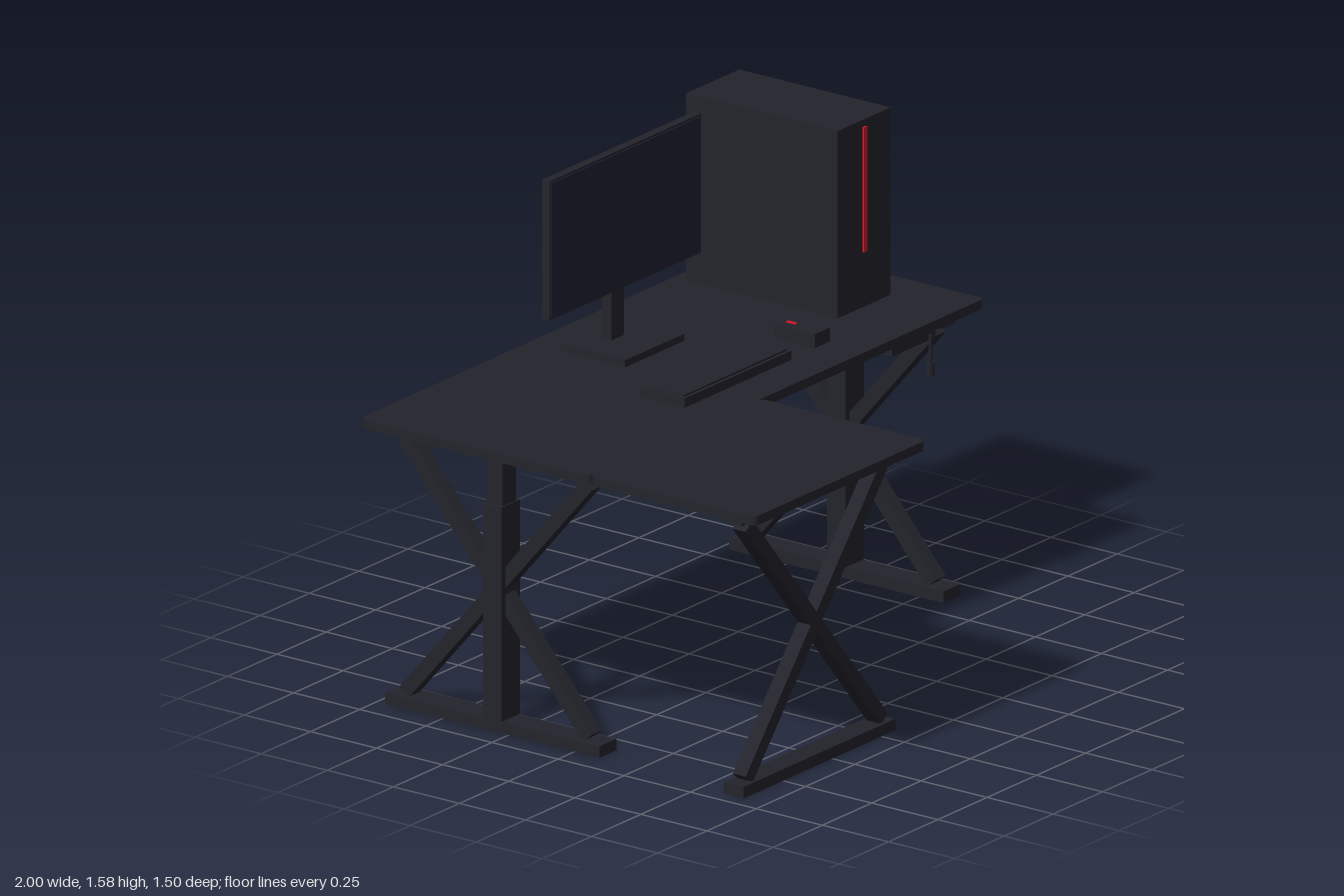
import * as THREE from 'three';

const mat = (name, color) => Object.assign(new THREE.MeshStandardMaterial({ color }), { name });

export function createModel() {
  const dark = mat('charcoal', 0x23232c);
  const glass = mat('blue black glass', 0x212136);
  const red = mat('red accent', 0xd31a2b);
  const root = new THREE.Group();
  root.name = 'cornerDesk';

  const add = (parent, name, geometry, material) => {
    const mesh = new THREE.Mesh(geometry, material);
    mesh.name = name;
    parent.add(mesh);
    return mesh;
  };
  const group = (name) => {
    const g = new THREE.Group();
    g.name = name;
    root.add(g);
    return g;
  };
  // Box given by its limits on each axis
  const box = (parent, name, [x0, x1], [y0, y1], [z0, z1], material = dark) => {
    const mesh = add(parent, name, new THREE.BoxGeometry(x1 - x0, y1 - y0, z1 - z0), material);
    mesh.position.set((x0 + x1) / 2, (y0 + y1) / 2, (z0 + z1) / 2);
    return mesh;
  };
  // Square bar running from point a to point b
  const bar = (parent, name, a, b, width, depth) => {
    const from = new THREE.Vector3(...a), to = new THREE.Vector3(...b);
    const mesh = add(parent, name, new THREE.BoxGeometry(width, from.distanceTo(to), depth), dark);
    mesh.position.copy(from).add(to).multiplyScalar(0.5);
    mesh.quaternion.setFromUnitVectors(new THREE.Vector3(0, 1, 0), to.sub(from).normalize());
    return mesh;
  };

  // Table tops: two slabs with rounded corners
  const slab = (name, x0, x1, z0, z1, r = 0.022) => {
    const s = new THREE.Shape();
    s.absarc(x1 - r, -z0 - r, r, 0, Math.PI / 2);
    s.absarc(x0 + r, -z0 - r, r, Math.PI / 2, Math.PI);
    s.absarc(x0 + r, -z1 + r, r, Math.PI, Math.PI * 1.5);
    s.absarc(x1 - r, -z1 + r, r, Math.PI * 1.5, Math.PI * 2);
    const g = new THREE.ExtrudeGeometry(s, { depth: 0.03, bevelEnabled: false, curveSegments: 6 });
    g.rotateX(-Math.PI / 2).translate(0, 0.907, 0);
    add(root, name, g, dark);
  };
  slab('mainTableTop', -1, 1, -0.75, 0.12);
  slab('sideTableTop', -1, -0.13, 0.12, 0.745);

  // Two telescopic legs with crossed braces
  for (const side of [-1, 1]) {
    const leg = group(side < 0 ? 'rightLeg' : 'leftLeg');
    const x = 0.872 * side;
    const span = (w) => [x - w / 2, x + w / 2];
    box(leg, 'foot', span(0.086), [0, 0.037], [-0.717, 0.094]);
    box(leg, 'lowerColumn', span(0.094), [0.037, 0.727], [-0.345, -0.275]);
    box(leg, 'upperColumn', span(0.07), [0.727, 0.877], [-0.34, -0.28]);
    box(leg, 'topBeam', span(0.07), [0.875, 0.907], [-0.697, 0.077]);
    bar(leg, 'brace', [x, 0.045, 0.034], [x, 0.86, -0.66], 0.05, 0.045);
    bar(leg, 'brace', [x, 0.045, -0.66], [x, 0.86, 0.034], 0.05, 0.045);
  }

  // Crossed frame under the side top
  const frame = group('sideFrame');
  box(frame, 'footRail', [-0.95, -0.18], [0, 0.037], [0.588, 0.664]);
  box(frame, 'topRail', [-0.95, -0.18], [0.873, 0.907], [0.598, 0.656]);
  bar(frame, 'brace', [-0.905, 0.045, 0.627], [-0.22, 0.862, 0.627], 0.045, 0.05);
  bar(frame, 'brace', [-0.22, 0.045, 0.627], [-0.905, 0.862, 0.627], 0.045, 0.05);

  // Beam between the legs, and the crank
  box(root, 'crossBeam', [-0.84, 0.84], [0.852, 0.907], [-0.4, -0.3]);
  const crank = group('crank');
  box(crank, 'gearBox', [0.54, 0.76], [0.88, 0.907], [0.02, 0.115]);
  const rod = (name, r, h, y) => {
    add(crank, name, new THREE.CylinderGeometry(r, r, h, 12), dark).position.set(0.72, y, 0.125);
  };
  rod('crankRod', 0.006, 0.09, 0.855);
  rod('crankGrip', 0.013, 0.045, 0.793);

  // Monitor
  const monitor = group('monitor');
  box(monitor, 'standBase', [-0.15, 0.15], [0.937, 0.96], [-0.625, -0.38]);
  box(monitor, 'standNeck', [-0.032, 0.032], [0.96, 1.36], [-0.555, -0.52]);
  box(monitor, 'housing', [-0.385, 0.385], [1.13, 1.578], [-0.52, -0.492]);
  box(monitor, 'screen', [-0.378, 0.378], [1.137, 1.571], [-0.492, -0.488], glass);

  // Computer tower
  const tower = group('tower');
  box(tower, 'case', [0.588, 0.858], [0.937, 1.54], [-0.7, -0.128]);
  box(tower, 'sidePanel', [0.858, 0.863], [0.972, 1.505], [-0.663, -0.162], glass);
  box(tower, 'lightStrip', [0.714, 0.73], [1.115, 1.517], [-0.128, -0.121], red);

  // Keyboard and mouse
  const keyboard = group('keyboard');
  box(keyboard, 'keyboardBody', [-0.337, 0.207], [0.937, 0.967], [-0.188, 0.018 - 0.035]);
  box(keyboard, 'keys', [-0.325, 0.195], [0.967, 0.973], [-0.178, -0.027]);
  const mouse = group('mouse');
  box(mouse, 'mouseBody', [0.333, 0.41], [0.937, 0.982], [-0.178, 0.027 - 0.05]);
  box(mouse, 'mouseWheel', [0.366, 0.376], [0.982, 0.986], [-0.157, -0.12], red);

  return root;
}
